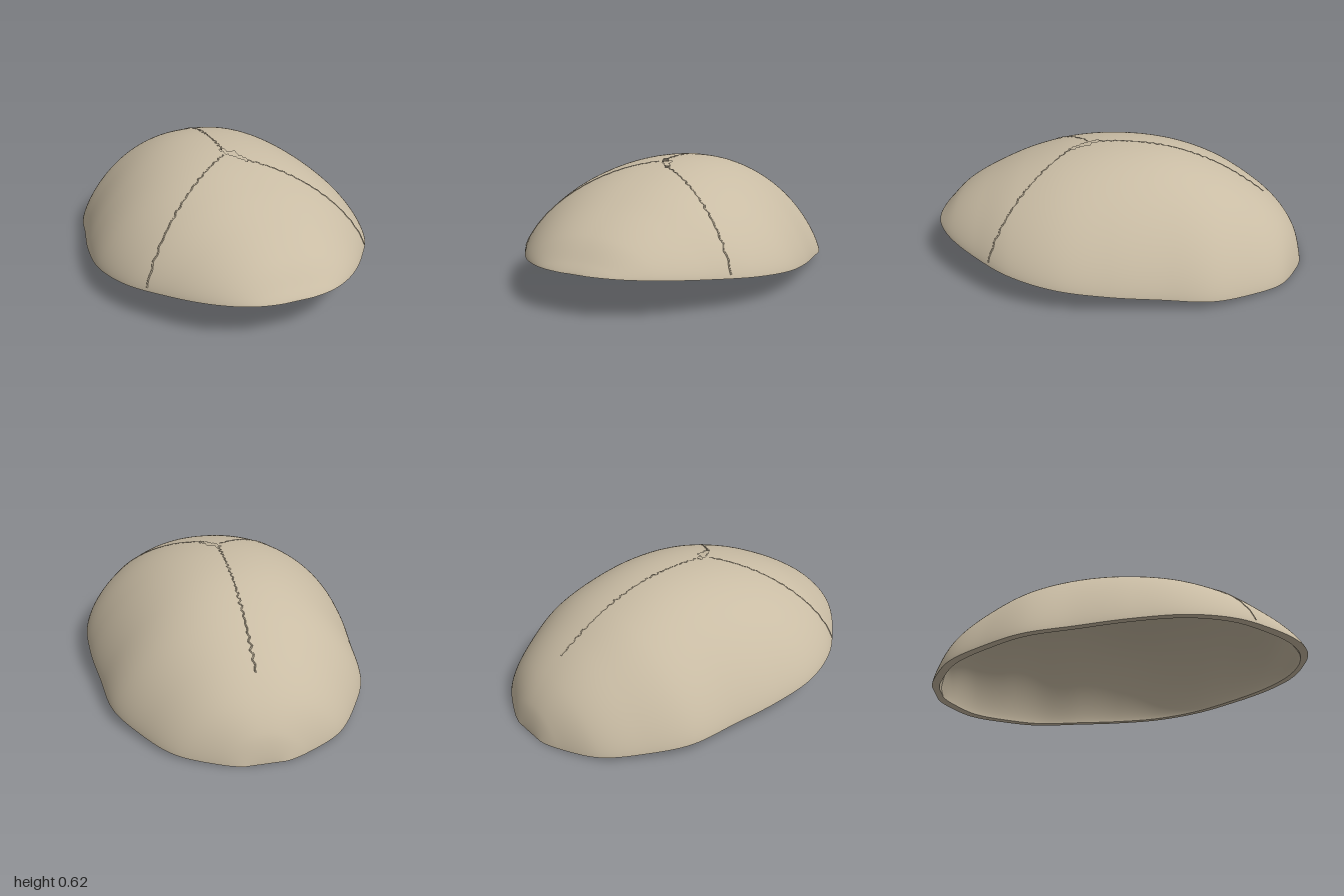
import * as THREE from 'three';

// Half width and crown height at 13 stations, front (z = 1) to back (z = -1), z = cos(angle)
const WIDTH = [0.06, 0.21, 0.365, 0.515, 0.66, 0.735, 0.733, 0.695, 0.653, 0.535, 0.40, 0.21, 0.09];
const CROWN = [0.2, 0.245, 0.345, 0.44, 0.53, 0.595, 0.62, 0.6, 0.525, 0.41, 0.28, 0.14, 0.0];
const ROWS = 160, COLS = 160;

const spline = (list) => new THREE.SplineCurve(list.map((v, i) => new THREE.Vector2(i, v)));
const widthCurve = spline(WIDTH), crownCurve = spline(CROWN);
const cutPlane = (z) => 0.1 + 0.1 * z;

// Point on the vault: t runs front to back, s runs -1..1 across; inset > 0 gives the inner wall
function vaultPoint(t, s, inset = 0) {
  const a = t * Math.PI;
  const z0 = Math.cos(a), z = z0 * (1 - inset);
  const w = Math.max(widthCurve.getPoint(t).y - inset * 1.1, 0.03);
  const h = Math.max(crownCurve.getPoint(t).y - cutPlane(z0) - inset * Math.sin(a), 0);
  const x = w * s;
  let y = cutPlane(z) + h * Math.pow(Math.max(1 - Math.pow(Math.abs(s), 2.2), 0), 0.75);
  // soft impressions on the inner wall, fading to the cut edge
  if (inset) y -= 0.008 * (1 - s * s) * Math.sin(a) ** 2 * (1 + Math.sin(9 * x) * Math.sin(8 * z + 1));
  return new THREE.Vector3(x, y, z);
}

// Open gap where the three seams meet
const gap = new THREE.CatmullRomCurve3([[-0.01, 0.13], [0.0, 0.17], [0.035, 0.18], [0.035, 0.21], [0.06, 0.25]]
  .map(([x, z]) => new THREE.Vector3(x, 0, z))).getPoints(24);
const inGap = (p) => gap.some((g) => Math.hypot(p.x - g.x, p.z - g.z) < 0.014);

function geometryFrom(points, index) {
  const g = new THREE.BufferGeometry().setFromPoints(points);
  g.setIndex(index);
  g.computeVertexNormals();
  return g;
}

function wall(inset) {
  const points = [], index = [];
  for (let i = 0; i <= ROWS; i++)
    for (let j = 0; j <= COLS; j++)
      points.push(vaultPoint(i / ROWS, Math.sin((j / COLS - 0.5) * Math.PI), inset));
  for (let i = 0; i < ROWS; i++) {
    for (let j = 0; j < COLS; j++) {
      const a = i * (COLS + 1) + j, b = a + 1, c = a + COLS + 1, d = c + 1;
      const centre = points[a].clone().add(points[d]).multiplyScalar(0.5);
      if (inGap(centre)) continue;
      if (inset) index.push(a, c, b, b, c, d);
      else index.push(a, b, c, b, d, c);
    }
  }
  return { points, geometry: geometryFrom(points, index) };
}

// Flat cut face joining the boundary of both walls
function rimGeometry(outer, inner) {
  const loop = [], at = (i, j) => i * (COLS + 1) + j;
  for (let i = 0; i < ROWS; i++) loop.push(at(i, 0));
  for (let j = 0; j < COLS; j++) loop.push(at(ROWS, j));
  for (let i = ROWS; i > 0; i--) loop.push(at(i, COLS));
  for (let j = COLS; j > 0; j--) loop.push(at(0, j));
  const points = [], index = [], n = loop.length;
  loop.forEach((k) => points.push(outer[k], inner[k]));
  for (let k = 0; k < n; k++) {
    const a = 2 * k, b = 2 * ((k + 1) % n);
    index.push(a, b, a + 1, b, b + 1, a + 1);
  }
  return geometryFrom(points, index);
}

// Fine wavering seam lying on the outer wall between two plan positions
function seamGeometry([x0, z0], [x1, z1], waves, sway) {
  const points = [], steps = waves * 4;
  const length = Math.hypot(x1 - x0, z1 - z0);
  for (let i = 0; i <= steps; i++) {
    const k = i / steps;
    const off = sway * Math.sin(k * waves * Math.PI * 2) * (0.6 + 0.4 * Math.sin(k * 23));
    const x = x0 + (x1 - x0) * k + off * (z1 - z0) / length;
    const z = z0 + (z1 - z0) * k - off * (x1 - x0) / length;
    const t = Math.acos(z) / Math.PI;
    const s = THREE.MathUtils.clamp(x / widthCurve.getPoint(t).y, -0.995, 0.995);
    const p = vaultPoint(t, s);
    p.y -= 0.002;
    points.push(p);
  }
  return new THREE.TubeGeometry(new THREE.CatmullRomCurve3(points), steps * 2, 0.0045, 5);
}

export function createModel() {
  const model = new THREE.Group();
  model.name = 'skullCap';
  const bone = new THREE.MeshStandardMaterial({ color: 0xc9bca4, side: THREE.DoubleSide });
  const seam = new THREE.MeshStandardMaterial({ color: 0xb3a68f });
  const add = (name, geometry, material = bone) => {
    const mesh = new THREE.Mesh(geometry, material);
    mesh.name = name;
    model.add(mesh);
  };

  // Shell: outer wall, inner wall and cut edge
  const outer = wall(0), inner = wall(0.032);
  add('outerWall', outer.geometry);
  add('innerWall', inner.geometry);
  add('cutEdge', rimGeometry(outer.points, inner.points));

  // Seams: one along the middle, one down each side
  add('middleSeam', seamGeometry([-0.01, 0.12], [0, -0.78], 22, 0.008), seam);
  add('leftSeam', seamGeometry([0.07, 0.26], [0.585, 0.61], 14, 0.006), seam);
  add('rightSeam', seamGeometry([-0.03, 0.18], [-0.585, 0.61], 14, 0.006), seam);
  return model;
}
